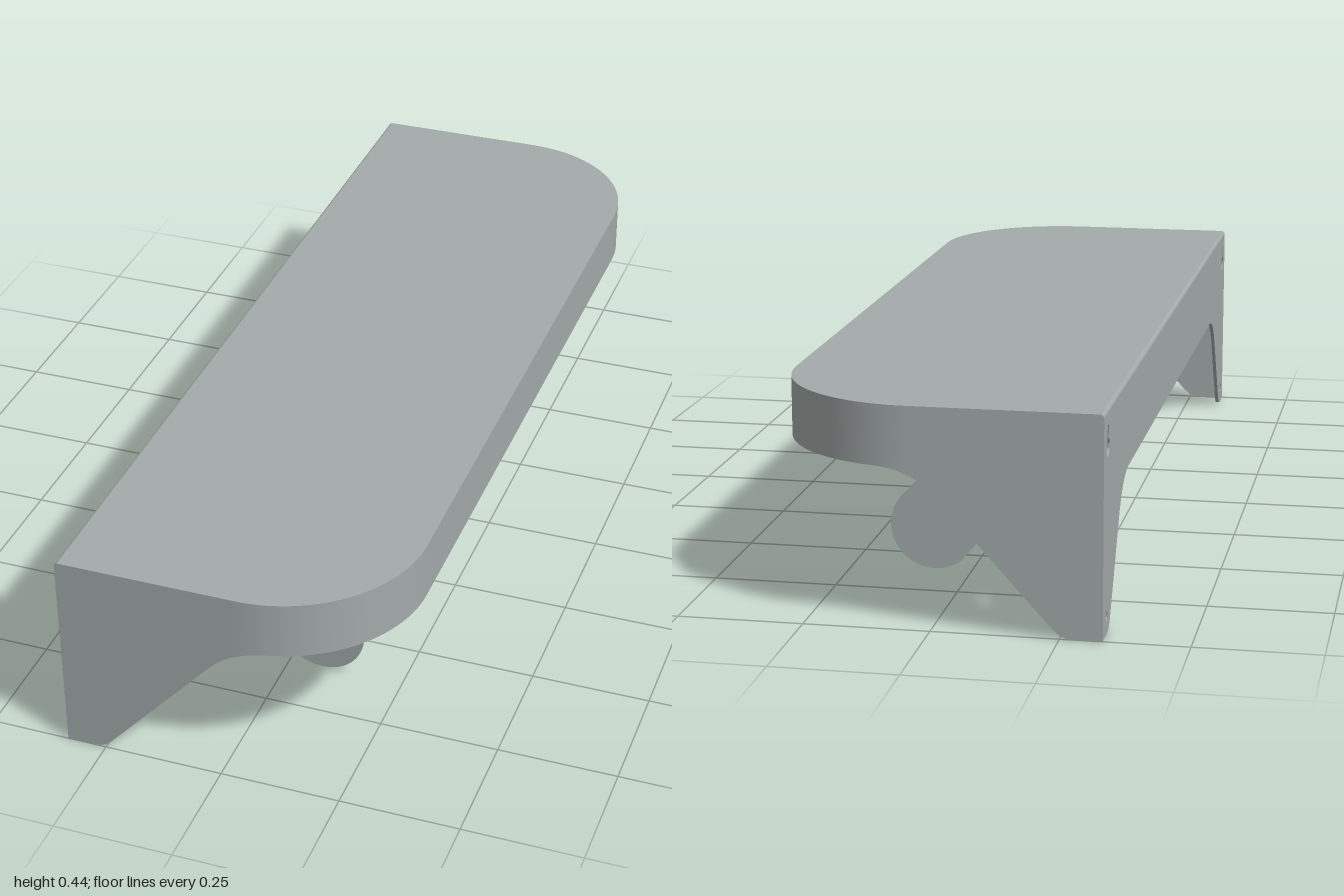
import * as THREE from 'three';
import { toCreasedNormals } from 'three/addons/utils/BufferGeometryUtils.js';

const T = 0.008;                              // sheet thickness
const BACK = -0.333, FRONT = 0.333, TOP = 0.44;
const R = 0.29, CX = FRONT - R, CZ = 1 - R;   // rounded front corners
const AXLE = { x: 0.075, y: 0.096 };

// lower edge of the side cheeks, (x, y)
const EDGE = [[BACK, 0], [-0.275, 0], [-0.262, 0.002], [-0.25, 0.007], [-0.237, 0.018], [-0.015, 0.264],
  [0, 0.279], [0.015, 0.291], [0.035, 0.303], [0.06, 0.313], [0.08, 0.318], [0.1, 0.32], [FRONT, 0.32]];

function edgeHeight(x) {
  for (let i = 1; i < EDGE.length; i++) {
    const [x0, y0] = EDGE[i - 1], [x1, y1] = EDGE[i];
    if (x <= x1) return y0 + (y1 - y0) * Math.max(0, (x - x0) / (x1 - x0));
  }
  return 0.32;
}

function extrude(shape, depth) {
  return toCreasedNormals(
    new THREE.ExtrudeGeometry(shape, { depth, bevelEnabled: false, curveSegments: 24 }), 0.5);
}

// cheeks and front lip: one folded strip running around the shelf
function wallGeometry() {
  const half = [];                            // stations: x, z, outward normal
  const xs = [BACK + T, ...EDGE.map(p => p[0]).filter(x => x > BACK && x < CX)];
  for (const x of xs) half.push([x, 1, 0, 1]);
  for (let i = 0; i <= 28; i++) {
    const a = (i / 28) * Math.PI / 2, s = Math.sin(a), c = Math.cos(a);
    half.push([CX + R * s, CZ + R * c, s, c]);
  }
  const path = [...half, ...half.map(([x, z, nx, nz]) => [x, -z, nx, -nz]).reverse()];
  const pos = [], idx = [];
  path.forEach(([x, z, nx, nz], i) => {
    const low = edgeHeight(x), high = TOP - T, xi = x - nx * T, zi = z - nz * T;
    pos.push(x, low, z, x, high, z, xi, high, zi, xi, low, zi);
    if (i === path.length - 1) return;
    for (let j = 0; j < 4; j++) {
      const a = i * 4 + j, b = i * 4 + (j + 1) % 4;
      idx.push(a, a + 4, b + 4, a, b + 4, b);
    }
  });
  const g = new THREE.BufferGeometry();
  g.setAttribute('position', new THREE.Float32BufferAttribute(pos, 3));
  g.setIndex(idx);
  return toCreasedNormals(g, 0.5);
}

function topGeometry() {
  const s = new THREE.Shape();
  s.moveTo(BACK + T, -1);
  s.lineTo(CX, -1);
  s.absarc(CX, -CZ, R, -Math.PI / 2, 0, false);
  s.absarc(CX, CZ, R, 0, Math.PI / 2, false);
  s.lineTo(BACK + T, 1);
  return extrude(s, T).rotateX(-Math.PI / 2).translate(0, TOP - T, 0);
}

// back panel with two legs, drawn in (z, y)
function backGeometry() {
  const s = new THREE.Shape();
  s.moveTo(-1, TOP - T);
  s.lineTo(-1, 0);
  s.lineTo(-0.95, 0);
  s.quadraticCurveTo(-0.925, 0, -0.91, 0.022);
  s.lineTo(-0.805, 0.188);
  s.quadraticCurveTo(-0.76, 0.26, -0.68, 0.26);
  s.lineTo(0.68, 0.26);
  s.quadraticCurveTo(0.76, 0.26, 0.805, 0.188);
  s.lineTo(0.91, 0.022);
  s.quadraticCurveTo(0.925, 0, 0.95, 0);
  s.lineTo(1, 0);
  s.lineTo(1, TOP - T);
  for (const side of [-1, 1]) {
    const screw = new THREE.Path();
    screw.absarc(side * 0.955, 0.035, 0.01, 0, Math.PI * 2, true);
    const key = new THREE.Path();             // keyhole: round with a slot above
    key.absarc(side * 0.95, 0.365, 0.018, Math.PI * 0.66, Math.PI * 0.34, false);
    key.absarc(side * 0.95, 0.4, 0.009, 0, Math.PI, false);
    s.holes.push(screw, key);
  }
  return extrude(s, T).rotateY(-Math.PI / 2).translate(BACK + T, 0, 0);
}

// bracket plate with a round nose
function bracketGeometry(thickness) {
  const s = new THREE.Shape();
  s.moveTo(BACK + T, 0.298);
  s.absarc(AXLE.x, AXLE.y, 0.091, -2.23, 0.76, false);
  s.lineTo(-0.126, TOP - T);
  s.lineTo(BACK + T, TOP - T);
  return extrude(s, thickness).translate(0, 0, -thickness / 2);
}

// one roller from the middle bracket to the end bracket: (radius, z)
function rollerGeometry() {
  const profile = [[0, 0.004], [0.05, 0.004], [0.05, 0.018], [0.04, 0.018], [0.04, 0.026], [0.032, 0.026],
    [0.032, 0.44], [0.038, 0.45], [0.038, 0.585], [0.034, 0.595], [0.034, 0.6], [0.049, 0.6],
    [0.049, 0.612], [0, 0.612]].map(p => new THREE.Vector2(...p));
  return toCreasedNormals(new THREE.LatheGeometry(profile, 40), 0.5).rotateX(Math.PI / 2);
}

export function createModel() {
  const model = new THREE.Group();
  model.name = 'wallShelf';
  const sheet = new THREE.MeshStandardMaterial({ color: 0xa3abaa });
  const steel = new THREE.MeshStandardMaterial({ color: 0xcfcdc4 });
  const add = (name, geometry, material = sheet) => {
    const mesh = new THREE.Mesh(geometry, material);
    mesh.name = name;
    model.add(mesh);
    return mesh;
  };

  // shelf body
  add('shelfTop', topGeometry());
  add('sideCheeksAndFrontLip', wallGeometry());
  add('backPanel', backGeometry());
  add('backBend', new THREE.CylinderGeometry(T, T, 2, 24).rotateX(Math.PI / 2))
    .position.set(BACK + T, TOP - T, 0);

  // roll holder
  add('mountingStrip', new THREE.BoxGeometry(0.006, 0.134, 1.23))
    .position.set(BACK + T + 0.003, 0.365, 0);
  for (const [name, z, t] of [['leftBracket', 0.615, 0.006], ['middleBracket', 0, 0.008], ['rightBracket', -0.615, 0.006]])
    add(name, bracketGeometry(t)).position.z = z;
  for (const [name, turn] of [['frontRoller', 0], ['rearRoller', Math.PI]]) {
    const roller = add(name, rollerGeometry(), steel);
    roller.position.set(AXLE.x, AXLE.y, 0);
    roller.rotation.y = turn;
  }
  return model;
}
